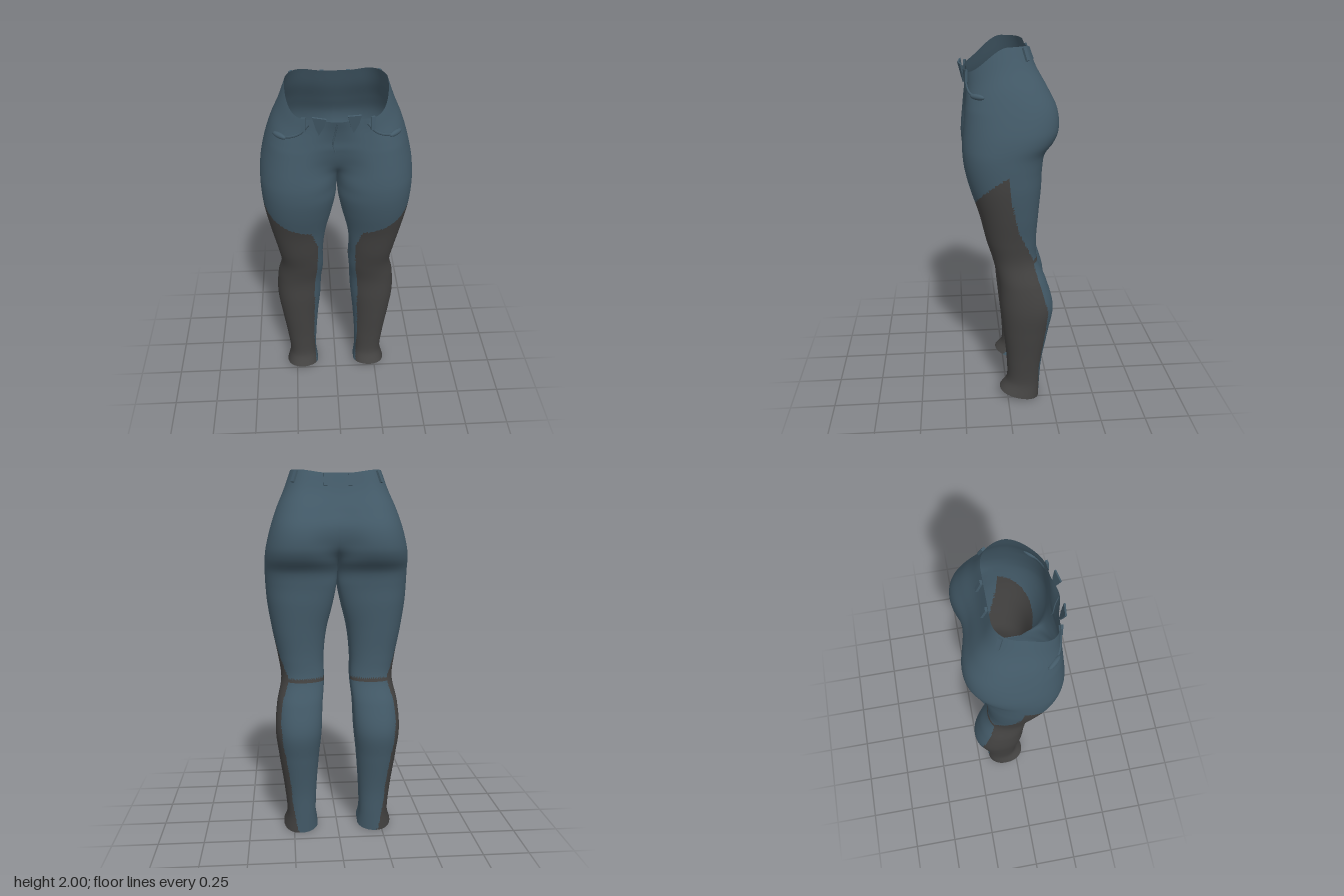
import * as THREE from 'three';
import { mergeVertices } from 'three/addons/utils/BufferGeometryUtils.js';

const { clamp, smoothstep, lerp } = THREE.MathUtils;
const CROTCH = 1.48;

// Half-body profile: height, outer x, inner x, front z, back z, inner front z, inner back z
const PROFILE = [
  [2.0, .245, 0, .2, -.105, .225, -.105],
  [1.9, .28, 0, .2, -.145, .21, -.14],
  [1.8, .322, 0, .205, -.2, .2, -.185],
  [1.7, .355, 0, .212, -.248, .195, -.222],
  [1.6, .38, 0, .222, -.257, .165, -.205],
  [1.54, .388, 0, .228, -.235, .115, -.15],
  [1.48, .39, 0, .23, -.19, .06, -.09],
  [1.4, .388, .006, .222, -.176, .07, -.09],
  [1.3, .38, .025, .198, -.172, .06, -.08],
  [1.15, .355, .06, .15, -.16, .05, -.06],
  [1.0, .325, .075, .115, -.152, .03, -.06],
  [.88, .31, .073, .08, -.16, 0, -.08],
  [.75, .335, .085, .05, -.212, -.04, -.13],
  [.6, .345, .092, .04, -.25, -.06, -.15],
  [.45, .328, .107, .025, -.228, -.07, -.13],
  [.25, .3, .122, .005, -.195, -.06, -.12],
  [.1, .288, .126, .005, -.185, -.06, -.12],
  [0, .308, .115, .045, -.18, -.04, -.1],
];

// Smooth interpolation of the profile at a height
function profileAt(y) {
  let i = 0;
  while (i < PROFILE.length - 2 && y < PROFILE[i + 1][0]) i++;
  const a = PROFILE[i], b = PROFILE[i + 1];
  const p = PROFILE[Math.max(i - 1, 0)], n = PROFILE[Math.min(i + 2, PROFILE.length - 1)];
  const h = b[0] - a[0], t = (y - a[0]) / h;
  return a.map((v, k) => {
    const m0 = (b[k] - p[k]) / (b[0] - p[0]) * h, m1 = (n[k] - v) / (n[0] - a[0]) * h;
    return v * (2 * t ** 3 - 3 * t * t + 1) + m0 * (t ** 3 - 2 * t * t + t)
      + b[k] * (3 * t * t - 2 * t ** 3) + m1 * (t ** 3 - t * t);
  });
}

// Linear lookup in a short list of [y, value], highest y first
function lookup(list, y) {
  for (let i = 0; i < list.length - 1; i++) {
    const [y0, v0] = list[i], [y1, v1] = list[i + 1];
    if (y >= y1) return lerp(v1, v0, clamp((y - y1) / (y0 - y1), 0, 1));
  }
  return list[list.length - 1][1];
}

// Fabric point: u 0..1 runs front centre -> outside -> back centre, 1..1.3 is the inner leg
function fabricPoint(u, y, side = 1) {
  const [, xo, xin, zf, zb, cF, cB] = profileAt(y);
  const xi = y >= CROTCH ? 0 : xin, cx = (xo + xi) / 2;
  let x, z;
  if (u > 1) {
    x = xi;
    z = lerp(cB, cF, (u - 1) / .3);
  } else if (u >= .2 && u <= .8) {
    const a = (u - .2) / .6 * Math.PI, c = Math.cos(a);
    x = cx + (xo - cx) * Math.max(Math.sin(a), 0) ** .9;
    z = (zf + zb) / 2 + (zf - zb) / 2 * Math.sign(c) * Math.abs(c) ** .9;
  } else {
    const s = u < .2 ? 1 - u / .2 : (u - .8) / .2;
    const k = smoothstep(y, CROTCH, 1.64);
    x = cx - (cx - xi) * lerp(Math.sin(s * Math.PI / 2), s, k);
    const w = lerp(Math.cos(s * Math.PI / 2), (1 + Math.cos(s * Math.PI)) / 2, k);
    z = u < .2 ? lerp(cF, zf, w) : lerp(cB, zb, w);
  }
  // Waist dips at the front, hem lifts at the front
  const dip = clamp((y - 1.7) / .3, 0, 1) * (.13 * smoothstep(z, 0, .22)
    + .018 * (1 - smoothstep(x, .05, .22)) * (z < 0 ? 1 : 0));
  const lift = .055 * clamp(1 - y / .15, 0, 1) * clamp((z + .18) / .22, 0, 1);
  return new THREE.Vector3(x * side, y - dip + lift, z);
}

const BACK_EDGE = [[1.39, .01], [1.2, -.02], [1.08, -.05], [.97, -.1], [.9, -.13], [.85, -.14],
  [.75, -.17], [.6, -.215], [.45, -.205], [.2, -.175], [0, -.18]];
const INNER_EDGE = [[1.2, .14], [1.05, .1], [.9, .108], [.75, .122], [.5, .128], [.3, .135], [0, .125]];

// True where the grey panel covers the front and outside of the leg
function isPanel(p, u) {
  const x = Math.abs(p.x), { y, z } = p;
  if (y > 1.42) return false;
  if (u > .5 && u < 1.02 && Math.abs(y - .885) < .011) return true;
  const top = 1.16 + .5 * (x - .13) + .11 * clamp(1 - (z - .01) / .17, 0, 1);
  if (y > top) return false;
  if (u < .2 || u > .8) return u < .2 && x > lookup(INNER_EDGE, y);
  return z > lookup(BACK_EDGE, y);
}

// Both halves as one welded surface, split into two material groups
function trouserGeometry() {
  const us = [], ys = [];
  for (let j = 0; j <= 80; j++) us.push(j / 80);
  for (let j = 1; j <= 10; j++) us.push(1 + j * .3 / 10);
  for (let i = 0; i <= 32; i++) ys.push(lerp(2, CROTCH, i / 32));
  for (let i = 1; i <= 110; i++) ys.push(lerp(CROTCH, 0, i / 110));
  const positions = [], cloth = [], panel = [], W = us.length, mid = new THREE.Vector3();
  for (const side of [1, -1]) {
    const base = positions.length / 3;
    const pts = ys.flatMap(y => us.map(u => fabricPoint(u, y, side)));
    pts.forEach(p => positions.push(p.x, p.y, p.z));
    for (let i = 0; i < ys.length - 1; i++) {
      const columns = i < 32 ? 80 : W - 1;
      for (let j = 0; j < columns; j++) {
        const a = i * W + j, b = a + 1, c = a + W, d = c + 1;
        for (const t of [[a, c, b], [b, c, d]]) {
          mid.copy(pts[t[0]]).add(pts[t[1]]).add(pts[t[2]]).divideScalar(3);
          if (side < 0) t.reverse();
          (isPanel(mid, us[j]) ? panel : cloth).push(...t.map(v => v + base));
        }
      }
    }
  }
  let geo = new THREE.BufferGeometry();
  geo.setAttribute('position', new THREE.Float32BufferAttribute(positions, 3));
  geo.setIndex([...cloth, ...panel]);
  geo = mergeVertices(geo, 1e-5);
  geo.computeVertexNormals();
  geo.addGroup(0, cloth.length, 0);
  geo.addGroup(cloth.length, panel.length, 1);
  return geo;
}

// Raised seam that follows the fabric through a few (u, y) points
function seam(name, list, side, radius, material) {
  const curve = new THREE.CatmullRomCurve3(list.map(([u, y]) => fabricPoint(u, y, side)));
  const mesh = new THREE.Mesh(new THREE.TubeGeometry(curve, 24, radius, 6), material);
  mesh.name = name;
  return mesh;
}

// Put a mesh on the fabric, facing outward
function attach(mesh, u, y, side, offset) {
  const p = fabricPoint(u, y, side);
  const along = fabricPoint(u + .01, y, side).sub(fabricPoint(u - .01, y, side));
  const up = fabricPoint(u, y + .01, side).sub(fabricPoint(u, y - .01, side));
  const normal = along.cross(up).multiplyScalar(side).normalize();
  mesh.position.copy(p).addScaledVector(normal, offset);
  mesh.lookAt(mesh.position.clone().add(normal));
  return mesh;
}

export function createModel() {
  const group = new THREE.Group();
  const denim = new THREE.MeshStandardMaterial({ color: 0x435a68, side: THREE.DoubleSide });
  denim.name = 'blue denim';
  const grey = new THREE.MeshStandardMaterial({ color: 0x434241, side: THREE.DoubleSide });
  grey.name = 'grey panel';

  const body = new THREE.Mesh(trouserGeometry(), [denim, grey]);
  body.name = 'trousers';
  group.add(body);

  for (const side of [1, -1]) {
    // Belt loops around the waist
    for (const u of [.9, .66, .24]) {
      const loop = new THREE.Mesh(new THREE.BoxGeometry(.02, .065, .012), denim);
      loop.name = 'beltLoop';
      group.add(attach(loop, u, 1.962, side, .006));
    }
    // Curved front pocket with a loose lip
    group.add(seam('pocketEdge', [[.21, 1.96], [.24, 1.88], [.3, 1.83], [.38, 1.8]], side, .007, denim));
    const lip = new THREE.Mesh(new THREE.SphereGeometry(1, 16, 10), denim);
    lip.name = 'pocketLip';
    lip.scale.set(.045, .014, .014);
    group.add(attach(lip, .35, 1.81, side, .002));
  }

  // Fly seam
  group.add(seam('flySeam', [[.01, 1.98], [.02, 1.88], [.03, 1.78], [.015, 1.7]], -1, .004, denim));

  // Folded waistband ends beside the open button
  const fold = new THREE.Shape([[-.035, .04], [.03, .035], [.02, -.01], [-.005, -.06], [-.02, -.02]]
    .map(([x, y]) => new THREE.Vector2(x, y)));
  const foldGeometry = new THREE.ExtrudeGeometry(fold, { depth: .008, bevelEnabled: false });
  for (const [x, y, z, turn] of [[-.085, 1.86, .22, -.15], [.075, 1.87, .22, .2]]) {
    const flap = new THREE.Mesh(foldGeometry, denim);
    flap.name = 'waistbandFold';
    flap.position.set(x, y, z);
    flap.rotation.set(.2, turn, 0);
    group.add(flap);
  }
  return group;
}
